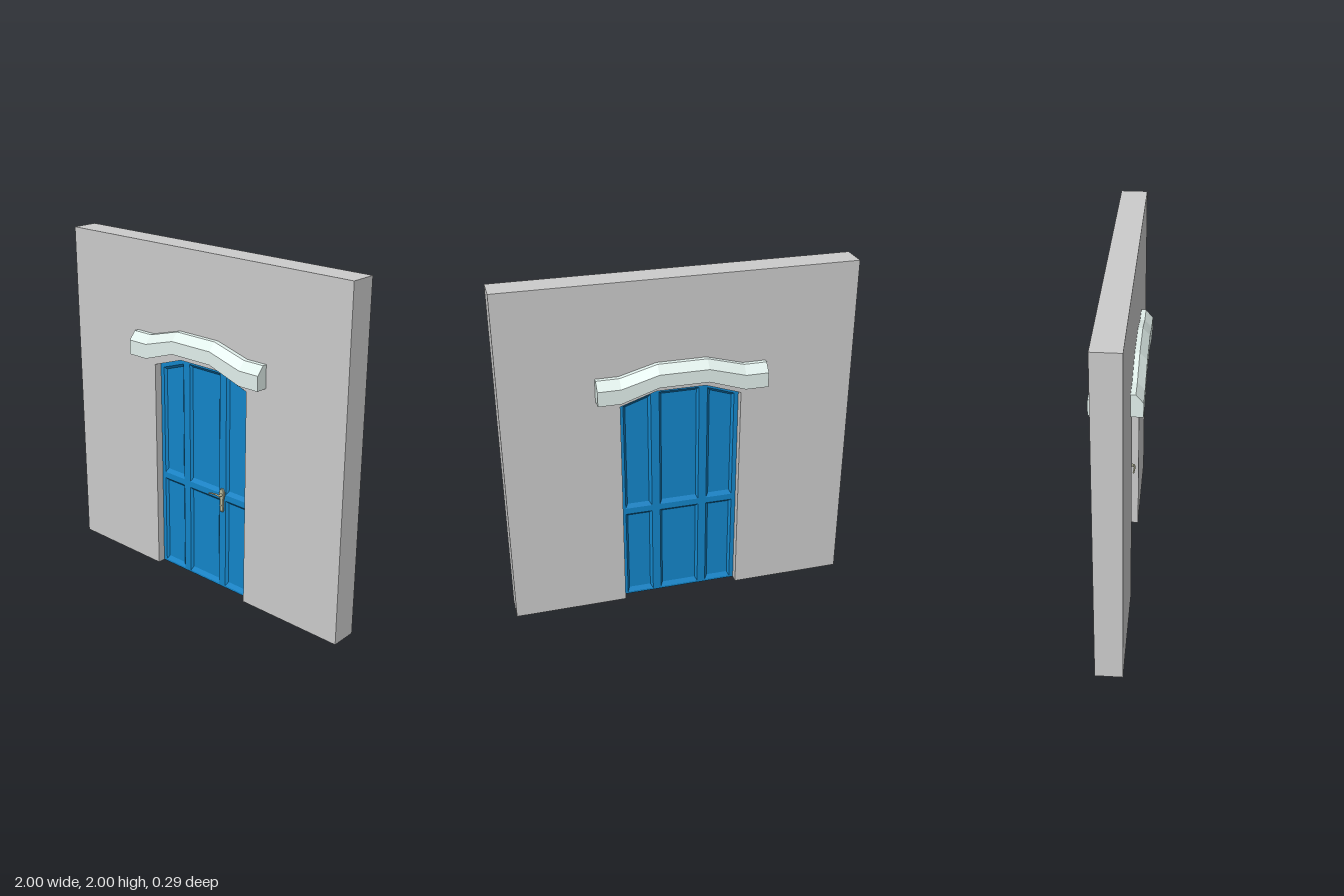
import * as THREE from 'three';

const WALL_Z = 0.077, DOOR_Z = 0.03, RECESS = 0.013;
const material = (color, extra = {}) => new THREE.MeshStandardMaterial({ color, ...extra });

// Height of the door's three-sided arch at x
function archY(x) {
  const t = THREE.MathUtils.clamp((Math.abs(x) - 0.14) / (0.345 - 0.14), 0, 1);
  return 1.36 - 0.07 * t;
}

function shapeOf(points) {
  return new THREE.Shape(points.map(([x, y]) => new THREE.Vector2(x, y)));
}

function extrude(shape, z0, z1, bevel = 0) {
  const geometry = new THREE.ExtrudeGeometry(shape, {
    depth: z1 - z0, bevelEnabled: bevel > 0, bevelSize: bevel, bevelThickness: bevel,
    bevelOffset: -bevel, bevelSegments: 1, curveSegments: 6,
  });
  return geometry.translate(0, 0, z0);
}

// Flat-faced geometry from convex polygons, corners counter-clockwise from outside
function polygons(faces) {
  const positions = [];
  for (const f of faces)
    for (let i = 1; i < f.length - 1; i++) positions.push(...f[0], ...f[i], ...f[i + 1]);
  const geometry = new THREE.BufferGeometry();
  geometry.setAttribute('position', new THREE.Float32BufferAttribute(positions, 3));
  geometry.computeVertexNormals();
  return geometry;
}

// Four corners of a panel; a null top follows the arch
function panelOutline([x0, x1, y0, y1], drop) {
  const top = (x) => (y1 === null ? archY(x) - drop : y1);
  return [[x0, y0], [x1, y0], [x1, top(x1)], [x0, top(x0)]];
}

// Sloped moulding around a sunken flat field
function panelGeometry({ outer, inner }) {
  const o = outer.map(([x, y]) => [x, y, DOOR_Z]);
  const n = inner.map(([x, y]) => [x, y, DOOR_Z - RECESS]);
  const faces = o.map((p, i) => [p, o[(i + 1) % 4], n[(i + 1) % 4], n[i]]);
  return polygons([...faces, n]);
}

// Hood moulding swept over the arch with a chamfered section
function hoodGeometry() {
  const stations = [[-0.48, 0], [-0.35, 0], [-0.14, 1], [0.14, 1], [0.35, 0], [0.48, 0]];
  const rings = stations.map(([x, up]) => {
    const bottom = 1.34 + 0.07 * up, mid = 1.425 + 0.06 * up, top = 1.473 + 0.058 * up;
    return [[x, bottom, 0.07], [x, bottom, 0.145], [x, mid, 0.145], [x, top, 0.104], [x, top, 0.07]];
  });
  const faces = [rings[0], [...rings[5]].reverse()];
  for (let i = 0; i < 5; i++)
    for (let j = 0; j < 5; j++) {
      const k = (j + 1) % 5;
      faces.push([rings[i][j], rings[i + 1][j], rings[i + 1][k], rings[i][k]]);
    }
  return polygons(faces);
}

export function createModel() {
  const model = new THREE.Group();
  const add = (parent, name, geometry, mat) => {
    const mesh = new THREE.Mesh(geometry, mat);
    mesh.name = name;
    parent.add(mesh);
    return mesh;
  };
  const wallMat = material(0xcccccc);
  const hoodMat = material(0xe2f0ec);
  const doorMat = material(0x1385c9);
  const metalMat = material(0xbdbd9f);

  // Wall with arched opening
  const arch = [[-0.345, 0], [-0.345, 1.29], [-0.14, 1.36], [0.14, 1.36], [0.345, 1.29], [0.345, 0]];
  const wall = shapeOf([[-1, 0], ...arch, [1, 0], [1, 2], [-1, 2]]);
  add(model, 'wall', extrude(wall, -WALL_Z, WALL_Z), wallMat);

  // Hood on both faces of the wall
  const hood = hoodGeometry();
  add(model, 'frontHood', hood, hoodMat);
  add(model, 'backHood', hood, hoodMat).rotation.y = Math.PI;

  // Door frame with six openings: three columns, two rows
  const door = new THREE.Group();
  door.name = 'door';
  model.add(door);
  const columns = [
    { out: [-0.32, -0.163], inn: [-0.307, -0.178] },
    { out: [-0.115, 0.115], inn: [-0.102, 0.102] },
    { out: [0.163, 0.32], inn: [0.178, 0.307] },
  ];
  const rows = [
    { out: [0.012, 0.567], inn: [0.038, 0.553] },
    { out: [0.605, null], inn: [0.63, null] },
  ];
  const panels = columns.flatMap((c) => rows.map((r) => ({
    outer: panelOutline([...c.out, ...r.out], 0.03),
    inner: panelOutline([...c.inn, ...r.inn], 0.046),
  })));
  const frame = shapeOf(arch);
  frame.holes = panels.map((p) => shapeOf(p.outer));
  add(door, 'doorFrame', extrude(frame, -DOOR_Z, DOOR_Z), doorMat);

  // Sunken panels on both sides
  for (const p of panels) {
    const geometry = panelGeometry(p);
    add(door, 'frontPanel', geometry, doorMat);
    add(door, 'backPanel', geometry, doorMat).rotation.y = Math.PI;
  }

  // Handle: tapered plate, spindle and curved lever
  const handle = new THREE.Group();
  handle.name = 'handle';
  handle.position.set(0.138, 0, DOOR_Z);
  model.add(handle);
  const plate = shapeOf([
    [-0.01, 0.495], [0.01, 0.495], [0.014, 0.53], [0.012, 0.565], [0.019, 0.6],
    [0.017, 0.625], [0.006, 0.64], [-0.006, 0.64], [-0.017, 0.625], [-0.019, 0.6],
    [-0.012, 0.565], [-0.014, 0.53],
  ]);
  add(handle, 'handlePlate', extrude(plate, 0, 0.008, 0.003), metalMat);
  const spindle = new THREE.CylinderGeometry(0.007, 0.009, 0.026, 10).rotateX(Math.PI / 2);
  add(handle, 'handleSpindle', spindle, metalMat).position.set(0, 0.602, 0.02);
  const leverPath = new THREE.CatmullRomCurve3([
    [0.003, 0.602, 0.03], [-0.02, 0.608, 0.035], [-0.045, 0.606, 0.036], [-0.075, 0.598, 0.032],
  ].map((p) => new THREE.Vector3(...p)));
  add(handle, 'handleLever', new THREE.TubeGeometry(leverPath, 12, 0.005, 8), metalMat);
  add(handle, 'handleTip', new THREE.SphereGeometry(0.005, 8, 6), metalMat).position.set(-0.075, 0.598, 0.032);
  const keyhole = new THREE.CylinderGeometry(0.005, 0.005, 0.004, 10).rotateX(Math.PI / 2);
  add(handle, 'keyCylinder', keyhole, metalMat).position.set(0, 0.535, 0.012);

  return model;
}
